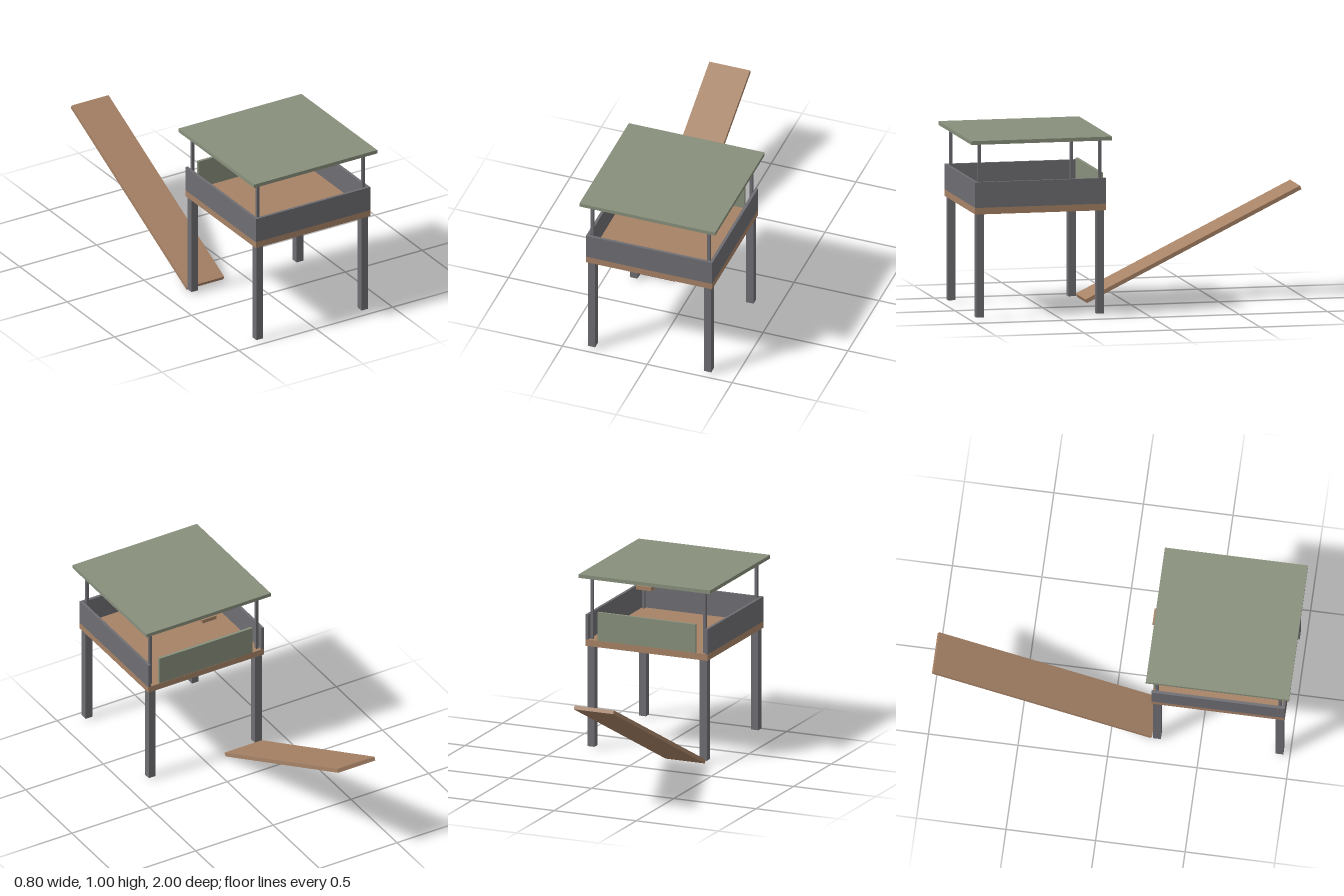
import * as THREE from 'three';

const mat = (name, color) => {
  const m = new THREE.MeshStandardMaterial({ color });
  m.name = name;
  return m;
};

export function createModel() {
  const wood = mat('wood', 0xa78266);
  const grey = mat('slate grey', 0x6e6d72);
  const sage = mat('sage green', 0x88907c);
  const group = new THREE.Group();
  group.name = 'watchtower';

  // Box given by its extents on each axis
  const box = (name, material, [x0, x1], [y0, y1], [z0, z1]) => {
    const mesh = new THREE.Mesh(new THREE.BoxGeometry(x1 - x0, y1 - y0, z1 - z0), material);
    mesh.position.set((x0 + x1) / 2, (y0 + y1) / 2, (z0 + z1) / 2);
    mesh.name = name;
    group.add(mesh);
    return mesh;
  };
  const around = (c, size) => [c - size / 2, c + size / 2];

  const cz = 0.6;          // centre of the tower
  const half = 0.372;      // half the platform width
  const floorY = 0.627, wallTop = 0.77, roofY = 0.984, thick = 0.016;
  const back = cz - half, front = cz + half;

  // Platform and roof
  box('floor', wood, [-half, half], [0.59, floorY], [back, front]);
  box('roof', sage, [-0.4, 0.4], [roofY, 1.005], [0.2, 1]);

  // Legs and roof posts at the four corners
  for (const sx of [-1, 1]) {
    for (const sz of [-1, 1]) {
      box('leg', grey, around(sx * 0.342, 0.043), [0.012, 0.59], around(cz + sz * 0.342, 0.043));
      box('roofPost', grey, around(sx * 0.343, 0.016), [floorY, roofY], around(cz + sz * 0.343, 0.016));
    }
  }

  // Low walls on the front and sides
  box('frontWall', grey, [-half, half], [floorY, wallTop], [front - thick, front]);
  for (const sx of [-1, 1]) {
    box('sideWall', grey, around(sx * (half - thick / 2), thick), [floorY, wallTop], [back, front - thick]);
  }

  // Back panel with gaps either side, and the block under the roof's back edge
  box('backPanel', sage, [-0.298, 0.298], [floorY, 0.79], [back + 0.001, back + 0.017]);
  box('roofBlock', wood, [-0.045, 0.045], [0.962, roofY], [0.19, 0.235]);

  // Sloping ramp rising away from the back
  const ramp = new THREE.Mesh(new THREE.BoxGeometry(0.24, 0.022, 1.358), wood);
  ramp.name = 'ramp';
  ramp.position.set(-0.24, 0.309, -0.385);
  ramp.rotation.x = 0.455;
  group.add(ramp);

  return group;
}
